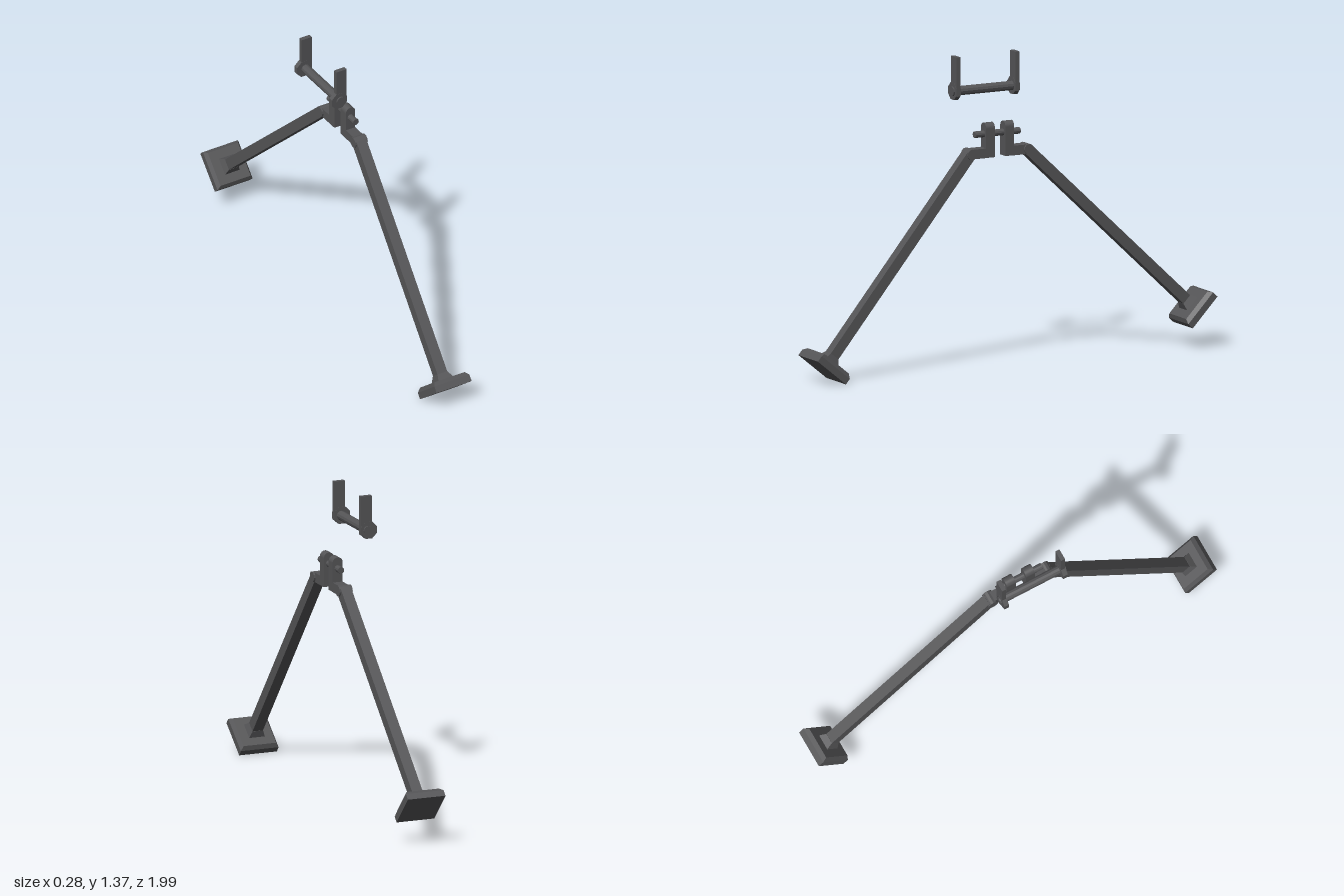
import * as THREE from 'three';

const darkGrey = new THREE.MeshStandardMaterial({ color: 0x555557 });
darkGrey.name = 'dark grey';
darkGrey.flatShading = true;

function add(parent, name, geometry, x = 0, y = 0, z = 0) {
  const mesh = new THREE.Mesh(geometry, darkGrey);
  mesh.name = name;
  mesh.position.set(x, y, z);
  parent.add(mesh);
  return mesh;
}

// Square block that narrows from bottom to top
const taper = (bottom, top, height) =>
  new THREE.CylinderGeometry(top * Math.SQRT1_2, bottom * Math.SQRT1_2, height, 4).rotateY(Math.PI / 4);

// Round bar along z
const rod = (radius, length, sides) =>
  new THREE.CylinderGeometry(radius, radius, length, sides).rotateX(Math.PI / 2);

// Upright hinge lug with a rounded top
function lugGeometry(halfWidth, bottom, top, depth) {
  const shape = new THREE.Shape();
  shape.moveTo(-halfWidth, bottom);
  shape.lineTo(halfWidth, bottom);
  shape.lineTo(halfWidth, top - halfWidth);
  shape.absarc(0, top - halfWidth, halfWidth, 0, Math.PI, false);
  shape.closePath();
  return new THREE.ExtrudeGeometry(shape, { depth, bevelEnabled: false, curveSegments: 10 });
}

// One half of the bipod: lug, bracket, elbow, leg and foot
function makeHalf(name, turn, spread) {
  const half = new THREE.Group();
  half.name = name;
  half.position.z = 0.052;
  half.rotation.y = turn;
  add(half, 'hingeLug', lugGeometry(0.024, 0.936, 1.09, 0.044), 0, 0, 0.026);
  add(half, 'bracketBar', new THREE.BoxGeometry(0.048, 0.043, 0.085), 0, 0.957, 0.107);
  add(half, 'elbow', new THREE.CylinderGeometry(0.024, 0.024, 0.062, 12).rotateZ(Math.PI / 2), 0, 0.957, 0.141);

  const leg = new THREE.Group();
  leg.name = 'leg';
  leg.position.set(0, 0.955, 0.143);
  leg.rotation.x = -spread;
  half.add(leg);
  const length = 1.155;
  add(leg, 'legBar', new THREE.BoxGeometry(0.05, length - 0.04, 0.048), 0, -(length - 0.04) / 2, 0);
  add(leg, 'ankle', taper(0.075, 0.05, 0.03), 0, -length + 0.062, 0);
  add(leg, 'footBevel', taper(0.18, 0.155, 0.018), 0, -length + 0.039, 0);
  add(leg, 'footPlate', new THREE.BoxGeometry(0.18, 0.03, 0.18), 0, -length + 0.015, 0);
  return half;
}

export function createModel() {
  const model = new THREE.Group();
  model.name = 'bipod';
  const body = new THREE.Group();
  body.name = 'body';
  body.position.x = 0.009;
  body.rotation.y = 0.039;
  model.add(body);

  body.add(makeHalf('frontHalf', 0, THREE.MathUtils.degToRad(39.2)));
  body.add(makeHalf('backHalf', Math.PI, THREE.MathUtils.degToRad(46.8)));
  add(body, 'hingePin', rod(0.015, 0.224, 12), 0, 1.04, 0.056);

  // Separate handle above the hinge
  const handle = new THREE.Group();
  handle.name = 'handle';
  body.add(handle);
  add(handle, 'handleRod', rod(0.021, 0.329, 12), -0.109, 1.22, 0.058);
  for (const z of [0.205, -0.089]) {
    const hub = rod(0.041, 0.022, 8);
    hub.rotateZ(Math.PI / 8);
    add(handle, 'handleHub', hub, -0.114, 1.22, z);
    add(handle, 'handleUpright', new THREE.BoxGeometry(0.052, 0.175, 0.02), -0.102, 1.2875, z);
  }
  return model;
}
